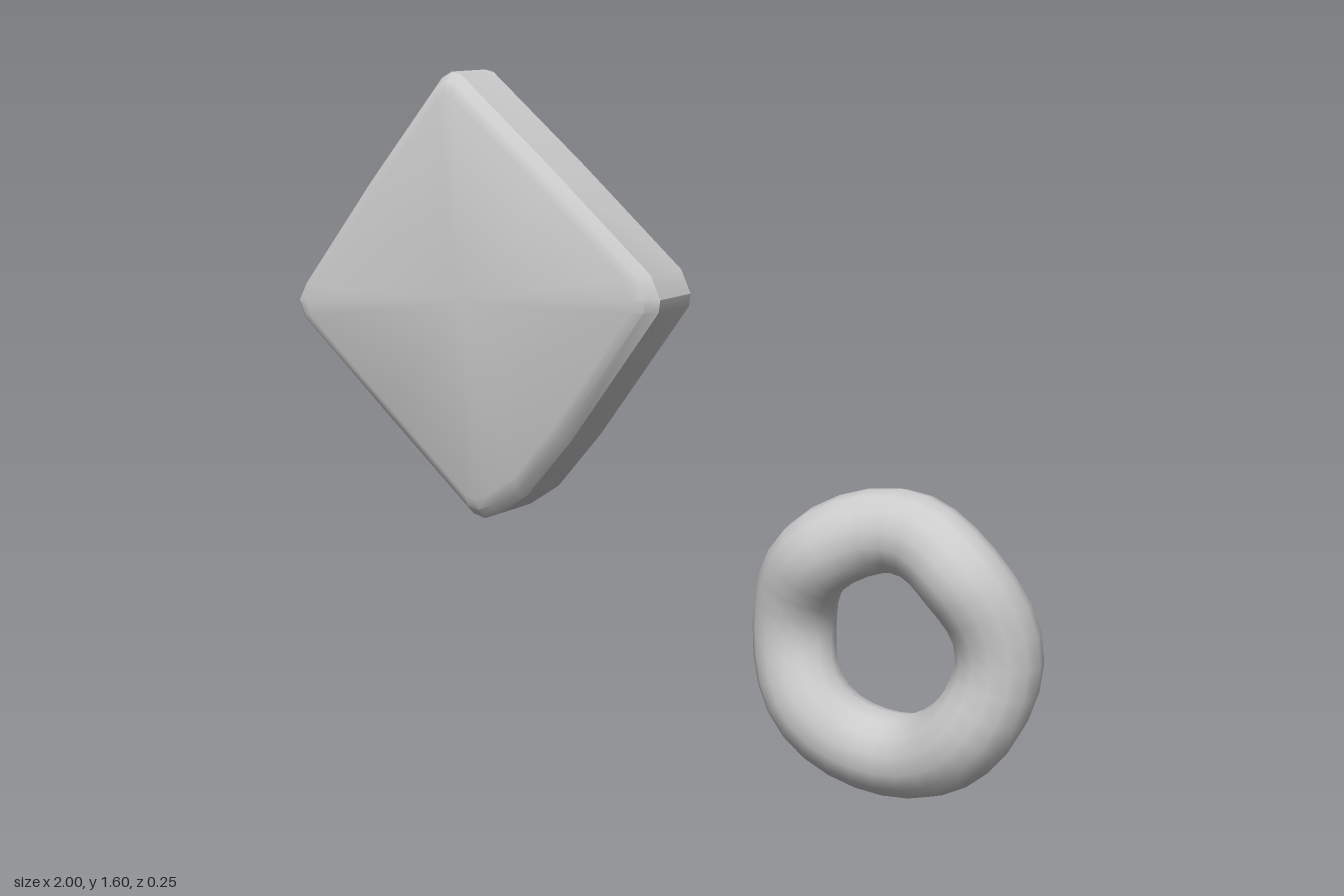
import * as THREE from 'three';
import { toCreasedNormals } from 'three/addons/utils/BufferGeometryUtils.js';

const grey = () => new THREE.MeshStandardMaterial({ color: 0xcccccc });

// Tilted square tablet: one outline lofted through chamfered layers
function tabletGeometry() {
  const cx = -0.455, cy = 1.06;
  // counter-clockwise seen from the front
  const outline = [
    [-0.52, 1.585], [-0.75, 1.328], [-0.975, 1.06], [-1, 1.015], [-0.985, 0.975],
    [-0.73, 0.755], [-0.465, 0.53], [-0.43, 0.522], [-0.385, 0.54], [-0.3, 0.595],
    [-0.17, 0.74], [0.085, 1.07], [0.09, 1.1], [0.065, 1.155], [-0.2, 1.38], [-0.465, 1.595], [-0.49, 1.6],
  ];
  // [z, inset] from back to front
  const layers = [[-0.112, 0.055], [-0.098, 0.027], [-0.055, 0], [0.075, 0], [0.1, 0.018], [0.11, 0.038]];
  const n = outline.length, pos = [], idx = [];
  const tilt = (x, y) => 0.026 * (y - cy) + 0.012 * (x - cx);
  for (const [z, inset] of layers) {
    const s = 1 - inset / 0.38;
    for (const [px, py] of outline) {
      const x = cx + (px - cx) * s, y = cy + (py - cy) * s;
      pos.push(x, y, z + tilt(x, y));
    }
  }
  for (let l = 0; l < layers.length - 1; l++) {
    for (let i = 0; i < n; i++) {
      const a = l * n + i, b = l * n + (i + 1) % n;
      idx.push(a, b, b + n, a, b + n, a + n);
    }
  }
  // slightly domed caps
  const back = pos.length / 3, front = back + 1, last = (layers.length - 1) * n;
  pos.push(cx, cy, -0.119, cx, cy, 0.117);
  for (let i = 0; i < n; i++) {
    const j = (i + 1) % n;
    idx.push(back, j, i, front, last + i, last + j);
  }
  const g = new THREE.BufferGeometry();
  g.setAttribute('position', new THREE.Float32BufferAttribute(pos, 3));
  g.setIndex(idx);
  return toCreasedNormals(g, 0.5);
}

// Ring that waves backward at four places around its circle
function ringGeometry() {
  const g = new THREE.TorusGeometry(0.257, 0.0965, 14, 32);
  const p = g.attributes.position;
  for (let i = 0; i < p.count; i++) {
    const t = Math.atan2(p.getY(i), p.getX(i));
    const amp = 0.017 + 0.007 * Math.sin(t);
    p.setZ(i, p.getZ(i) - 0.008 - amp * Math.cos(4 * t));
  }
  g.translate(0.645, 0.355, 0);
  return toCreasedNormals(g, 1.2);
}

export function createModel() {
  const group = new THREE.Group();
  const tablet = new THREE.Mesh(tabletGeometry(), grey());
  tablet.name = 'tablet';
  const ring = new THREE.Mesh(ringGeometry(), grey());
  ring.name = 'ring';
  group.add(tablet, ring);
  return group;
}
